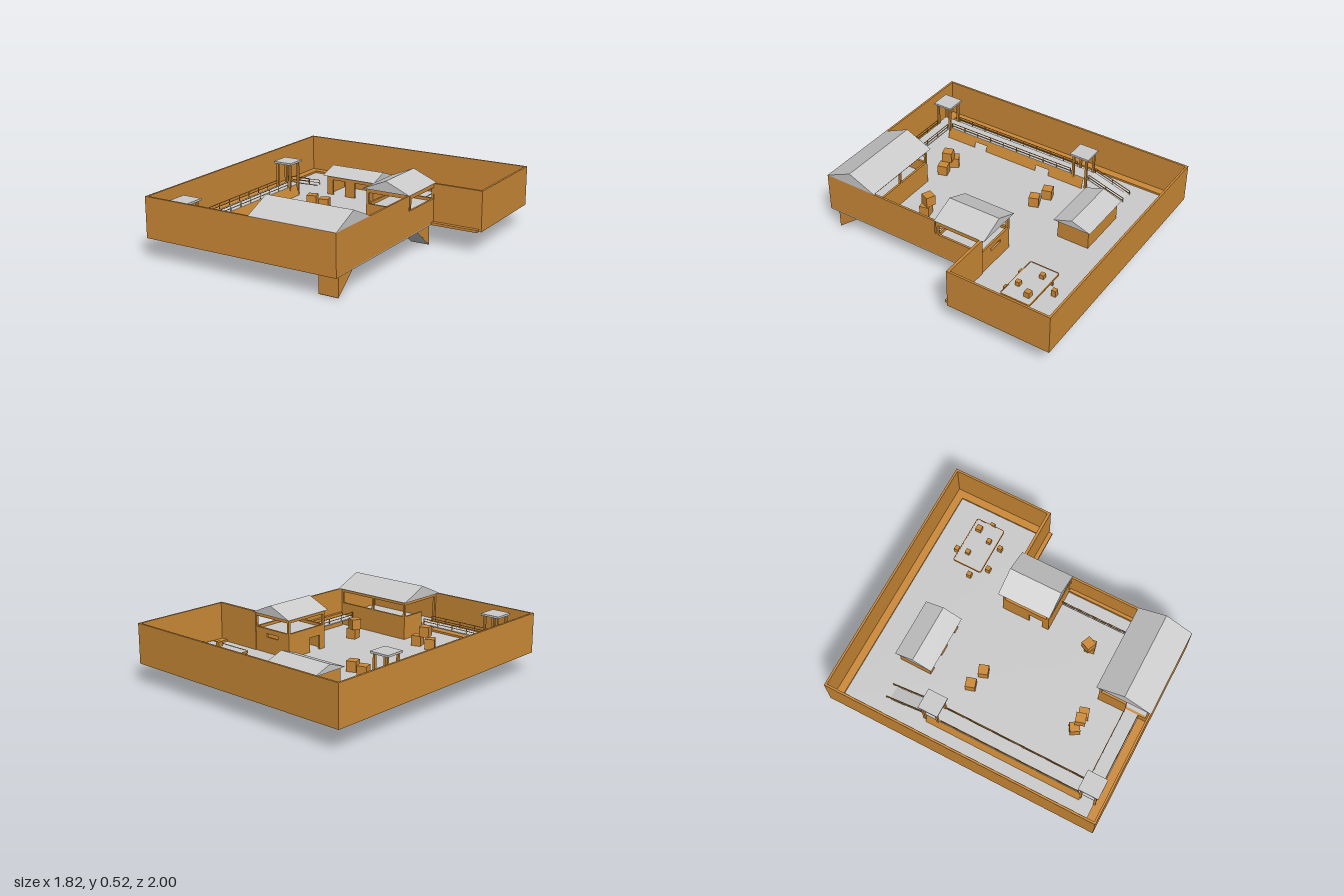
import * as THREE from 'three';

const wood = new THREE.MeshStandardMaterial({ color: 0xcd8a37, flatShading: true, side: THREE.DoubleSide });
const grey = new THREE.MeshStandardMaterial({ color: 0xcccccc, flatShading: true, side: THREE.DoubleSide });
const FLOOR = 0.152, BASE = 0.145, TOP = 0.43, DECK = 0.23;

export function createModel() {
  const root = new THREE.Group();
  root.name = 'walledCompound';
  let parent = root;

  const add = (name, geo, mat) => {
    const m = new THREE.Mesh(geo, mat);
    m.name = name;
    parent.add(m);
    return m;
  };
  const group = (name, build) => {
    parent = new THREE.Group();
    parent.name = name;
    root.add(parent);
    build();
    parent = root;
  };
  // Box given by its limits on each axis
  const box = (name, x0, x1, y0, y1, z0, z1, mat = wood) => {
    const m = add(name, new THREE.BoxGeometry(x1 - x0, y1 - y0, z1 - z0), mat);
    m.position.set((x0 + x1) / 2, (y0 + y1) / 2, (z0 + z1) / 2);
    return m;
  };
  const shape = (pts) => new THREE.Shape(pts.map(([x, y]) => new THREE.Vector2(x, y)));
  const extrude = (pts, depth) => new THREE.ExtrudeGeometry(shape(pts), { depth, bevelEnabled: false });
  // Gable roof with its ridge along x or z
  const roof = (x0, x1, z0, z1, y0, y1, alongX) => {
    const w = alongX ? z1 - z0 : x1 - x0;
    const geo = extrude([[-w / 2, 0], [w / 2, 0], [0, y1 - y0]], alongX ? x1 - x0 : z1 - z0);
    if (alongX) geo.rotateY(Math.PI / 2);
    add('roof', geo, grey).position.set(alongX ? x0 : (x0 + x1) / 2, y0, alongX ? (z0 + z1) / 2 : z0);
  };
  const posts = (x0, x1, z0, z1, y0, y1, t = 0.016) => {
    for (const x of [x0, x1 - t]) for (const z of [z0, z1 - t]) box('post', x, x + t, y0, y1, z, z + t);
  };
  // Handrail with posts between two points
  const rail = (a, b, h = 0.04) => {
    const p = new THREE.Vector3(...a), q = new THREE.Vector3(...b), len = p.distanceTo(q);
    for (const dy of [h, h * 0.5]) {
      const bar = add('handrail', new THREE.BoxGeometry(0.004, 0.004, len), wood);
      bar.position.copy(p).lerp(q, 0.5).setY((p.y + q.y) / 2 + dy);
      bar.rotation.order = 'YXZ';
      bar.rotation.y = Math.atan2(q.x - p.x, q.z - p.z);
      bar.rotation.x = -Math.asin((q.y - p.y) / len);
    }
    const n = Math.max(2, Math.round(len / 0.12));
    for (let i = 0; i <= n; i++) {
      const c = p.clone().lerp(q, i / n);
      box('railPost', c.x - 0.002, c.x + 0.002, c.y, c.y + h, c.z - 0.002, c.z + 0.002);
    }
  };

  // L-shaped floor
  const floor = add('floor', extrude([[-0.905, -0.995], [0.905, -0.995], [0.905, -0.25], [0.55, -0.25],
    [0.55, 0.995], [-0.905, 0.995]], FLOOR - BASE), grey);
  floor.rotation.x = Math.PI / 2;
  floor.position.y = FLOOR;

  // Perimeter walls and the low ledges at their feet
  group('perimeterWall', () => {
    const t = 0.015;
    box('backWall', -0.91, 0.908, BASE, TOP, -1, -1 + t);
    box('rightWall', -0.91, -0.91 + t, BASE, TOP, -1, 1);
    box('frontWall', -0.91, 0.55, BASE, TOP, 1 - t, 1);
    box('leftWall', 0.535, 0.55, BASE, TOP, 0.1, 1);
    box('wingSideWall', 0.893, 0.908, BASE, TOP, -1, -0.25);
    box('wingFrontWall', 0.54, 0.893, BASE, TOP, -0.27, -0.25);
    box('wingLedge', 0.55, 0.89, BASE, 0.163, -0.25, -0.22);
    box('backLedge', -0.895, 0.893, BASE, 0.166, -0.985, -0.93);
    box('rightLedge', -0.895, -0.84, BASE, 0.166, -0.93, 0.985);
    box('frontLedge', -0.84, 0.535, BASE, 0.166, 0.92, 0.985);
    box('wingSideLedge', 0.838, 0.893, BASE, 0.166, -0.93, -0.27);
    box('leftLedge', 0.512, 0.535, BASE, 0.25, 0.1, 0.6);
  });

  // Wedge brackets underneath with grey sloping faces
  for (const [z, dir] of [[0.945, -1], [-0.23, 1]]) group('bracket', () => {
    const geo = extrude([[0, 0], [0, BASE], [-0.18 * dir, BASE]], 0.14);
    geo.rotateY(Math.PI / 2);
    add('bracketBody', geo, wood).position.set(0.39, 0, z);
    const slope = add('bracketSlope', new THREE.BoxGeometry(0.138, 0.003, 0.23), grey);
    slope.position.set(0.46, BASE / 2 - 0.001, z + dir * 0.09);
    slope.rotation.x = -dir * Math.atan2(BASE, 0.18);
  });

  // Raised walkway with battered sides, doorways and a ramp
  group('mainWalkway', () => {
    box('deck', -0.73, -0.63, DECK - 0.008, DECK, -0.38, 0.93, grey);
    for (const side of [1, -1]) {
      const s = shape(side > 0
        ? [[-0.34, 0], [-0.06, 0], [-0.06, 0.045], [0.05, 0.045], [0.05, 0], [0.48, 0], [0.48, 0.045],
          [0.58, 0.045], [0.58, 0], [0.82, 0], [0.82, 0.08], [-0.34, 0.08]]
        : [[-0.34, 0], [0.82, 0], [0.82, 0.08], [-0.34, 0.08]]);
      const geo = new THREE.ShapeGeometry(s), p = geo.attributes.position;
      for (let i = 0; i < p.count; i++) {
        const z = p.getX(i), y = p.getY(i);
        p.setXYZ(i, -0.68 + side * (0.077 - 0.027 * y / 0.08), FLOOR - 0.004 + y, z);
      }
      geo.computeVertexNormals();
      add('slopedSide', geo, wood);
      const x = -0.68 + side * 0.049;
      rail([x, DECK, -0.23], [x, DECK, 0.8]);
      rail([x, BASE, -0.66], [x, DECK, -0.38]);
    }
    const ramp = add('ramp', new THREE.BoxGeometry(0.1, 0.006, Math.hypot(0.28, 0.087)), grey);
    ramp.position.set(-0.68, 0.185, -0.52);
    ramp.rotation.x = -Math.atan2(0.087, 0.28);
  });

  // Watch posts at both ends of the walkway
  for (const z of [-0.307, 0.872]) group('watchPost', () => {
    box('watchPostRoof', -0.753, -0.607, 0.398, 0.412, z - 0.073, z + 0.073, grey);
    posts(-0.74, -0.62, z - 0.06, z + 0.06, FLOOR, 0.4);
  });

  // Walkways along the front and left walls
  group('frontWalkway', () => {
    box('deck', -0.63, -0.07, DECK - 0.008, DECK, 0.82, 0.92, grey);
    for (const z of [0.822, 0.918]) rail([-0.6, DECK, z], [-0.09, DECK, z]);
  });
  group('leftWalkway', () => {
    box('deck', 0.41, 0.512, DECK - 0.008, DECK, 0.1, 0.62, grey);
    rail([0.412, DECK, 0.1], [0.412, DECK, 0.6]);
  });

  // Front house: solid lower storey, open upper storey
  group('frontHouse', () => {
    roof(-0.09, 0.55, 0.6, 1, TOP, 0.52, true);
    box('backWall', -0.07, 0.535, BASE, 0.32, 0.62, 0.635);
    box('sideWall', -0.07, -0.055, BASE, DECK, 0.62, 0.985);
    box('sideParapet', -0.07, -0.055, DECK, 0.32, 0.62, 0.82);
    box('upperFloor', -0.055, 0.535, DECK - 0.01, DECK, 0.635, 0.985, grey);
    posts(-0.07, 0.535, 0.62, 0.985, DECK, TOP);
    box('post', 0.225, 0.24, 0.32, TOP, 0.62, 0.635);
    box('backLintel', -0.07, 0.535, 0.405, TOP, 0.62, 0.635);
    box('sideLintel', -0.07, -0.055, 0.405, TOP, 0.62, 0.985);
  });

  // Side house: window band all round, doorway and slit
  group('sideHouse', () => {
    const x0 = 0.22, x1 = 0.55, z0 = -0.265, z1 = 0.09, t = 0.015;
    roof(0.197, 0.55, -0.287, 0.103, TOP, 0.505, false);
    box('outerWall', x1 - t, x1, BASE, 0.325, z0, z1 + 0.012);
    box('innerWall', x0, x0 + t, BASE, 0.325, z0, -0.06);
    box('innerWall', x0, x0 + t, BASE, 0.325, 0.04, z1);
    box('doorHead', x0, x0 + t, 0.255, 0.325, -0.06, 0.04);
    box('frontWall', x0, x1, BASE, 0.325, z1 - t, z1);
    box('backWall', x0, x1, BASE, 0.265, z0, z0 + t);
    box('backWall', x0, x1, 0.29, 0.325, z0, z0 + t);
    for (const [a, b] of [[x0, 0.325], [0.435, x1]]) box('slitSide', a, b, 0.265, 0.29, z0, z0 + t);
    box('upperFloor', x0 + t, x1 - t, 0.295, 0.305, z0 + t, z1 - t, grey);
    posts(x0, x1, z0, z1, 0.325, TOP, 0.017);
    for (const x of [x0, x1 - t]) box('lintel', x, x + t, 0.402, TOP, z0, z1);
    for (const z of [z0, z1 - t]) box('lintel', x0, x1, 0.402, TOP, z, z + t);
  });

  // Small shed with an open front
  group('shed', () => {
    const x0 = -0.445, x1 = -0.055, z0 = -0.71, z1 = -0.475, t = 0.014;
    roof(-0.465, -0.035, -0.73, -0.45, 0.295, 0.345, true);
    box('backWall', x0, x1, BASE, 0.295, z0, z0 + t);
    for (const x of [x0, x1 - t]) box('sideWall', x, x + t, BASE, 0.295, z0, z1);
    for (const [a, b] of [[x0, x0 + 0.05], [-0.29, -0.21], [x1 - 0.05, x1]])
      box('frontPier', a, b, BASE, 0.295, z1 - t, z1);
    box('frontLintel', x0, x1, 0.265, 0.295, z1 - t, z1);
  });

  // Long table with a rounded rim, small boxes on and around it
  group('table', () => {
    const rounded = (S, w, h, r) => {
      const s = new S();
      s.absarc(w - r, h - r, r, 0, Math.PI / 2);
      s.absarc(r - w, h - r, r, Math.PI / 2, Math.PI);
      s.absarc(r - w, r - h, r, Math.PI, Math.PI * 1.5);
      s.absarc(w - r, r - h, r, Math.PI * 1.5, Math.PI * 2);
      return s;
    };
    const ring = rounded(THREE.Shape, 0.182, 0.11, 0.014);
    ring.holes.push(rounded(THREE.Path, 0.176, 0.104, 0.008));
    const rim = add('tableRim', new THREE.ExtrudeGeometry(ring, { depth: 0.014, bevelEnabled: false, curveSegments: 4 }), wood);
    rim.rotation.x = Math.PI / 2;
    rim.position.set(0.532, 0.242, -0.625);
    box('tableTop', 0.356, 0.708, 0.23, 0.24, -0.729, -0.521, grey);
    posts(0.38, 0.685, -0.71, -0.54, FLOOR, 0.23, 0.012);
    for (const [x, z, s] of [[0.445, -0.665, 0.016], [0.64, -0.68, 0.02], [0.585, -0.572, 0.016]])
      box('smallBox', x - s, x + s, 0.24, 0.24 + 2 * s, z - s, z + s);
    for (const [x, z] of [[0.46, -0.765], [0.735, -0.627], [0.325, -0.592], [0.422, -0.493], [0.602, -0.493]])
      box('stool', x - 0.016, x + 0.016, FLOOR, 0.2, z - 0.016, z + 0.016);
  });

  // Crates, some stacked: x, z, level, turn
  for (const [x, z, level, turn] of [[-0.39, -0.19, 0, 0.3], [-0.268, -0.157, 0, 0.35], [0.235, 0.41, 0, 0.2],
    [0.213, 0.402, 1, -0.4], [-0.34, 0.577, 0, 0.55], [-0.22, 0.587, 0, 0.3], [-0.285, 0.592, 1, 0.3]]) {
    const crate = add('crate', new THREE.BoxGeometry(0.07, 0.075, 0.07), wood);
    crate.position.set(x, FLOOR + 0.037 + level * 0.075, z);
    crate.rotation.y = turn;
  }
  return root;
}
